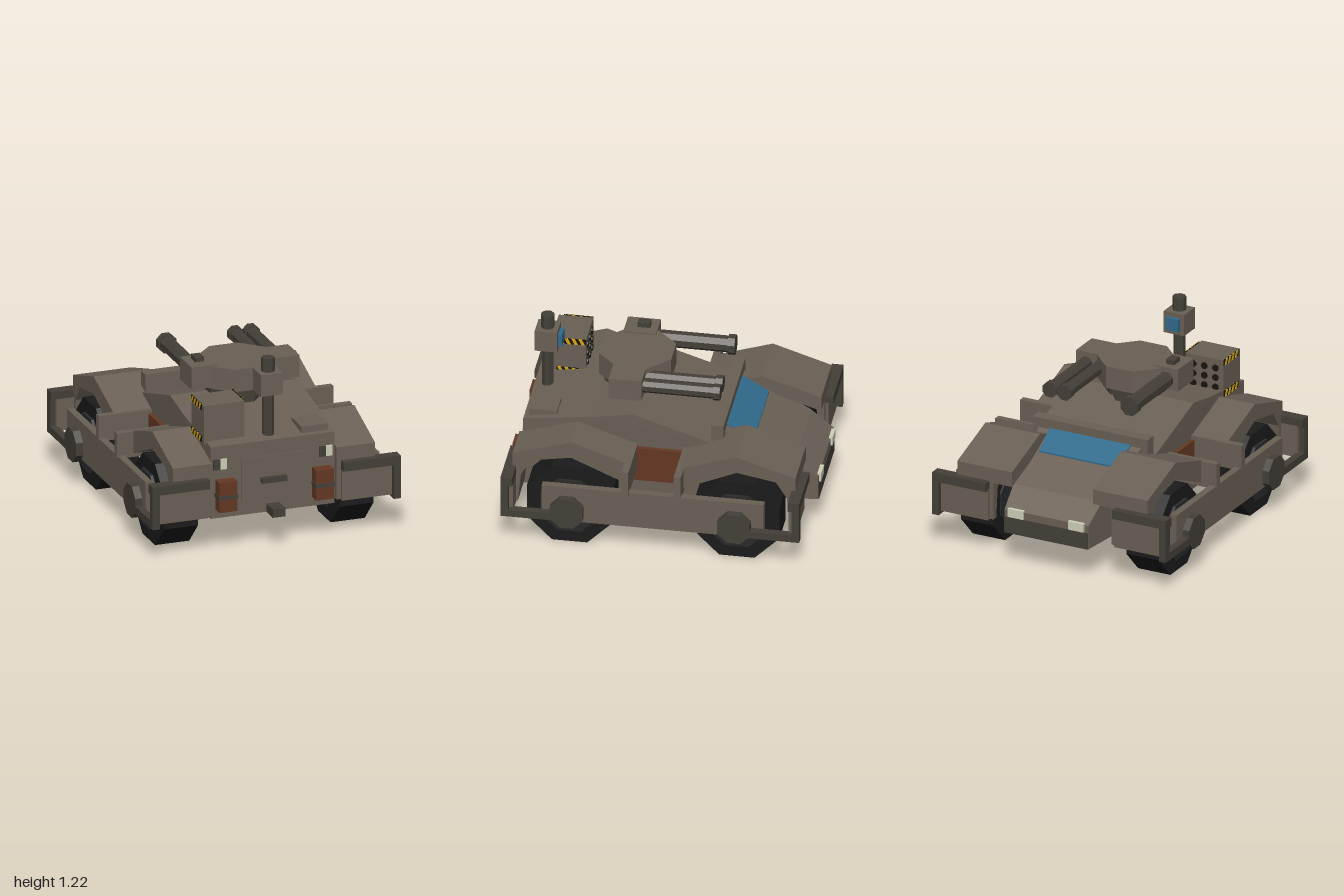
import * as THREE from 'three';

const mat = (name, color) => {
  const m = new THREE.MeshStandardMaterial({ color });
  m.name = name;
  return m;
};

export function createModel() {
  const model = new THREE.Group();
  model.name = 'armouredCar';
  const armour = mat('armour', 0x6a6055);
  const dark = mat('dark metal', 0x443f38);
  const tyre = mat('tyre', 0x1b1b1b);
  const rim = mat('wheel rim', 0x292a2b);
  const rust = mat('rust brown', 0x653823);
  const glass = mat('blue glass', 0x316a8c);
  const yellow = mat('warning yellow', 0xd8a514);
  const black = mat('warning black', 0x16150f);
  const cream = mat('lamp cream', 0xcfd0b8);

  const add = (name, geo, m) => {
    const mesh = new THREE.Mesh(geo, m);
    mesh.name = name;
    model.add(mesh);
    return mesh;
  };
  // Box given by its limits
  const box = (name, m, x0, x1, y0, y1, z0, z1) => {
    const g = new THREE.BoxGeometry(Math.abs(x1 - x0), y1 - y0, z1 - z0);
    g.translate((x0 + x1) / 2, (y0 + y1) / 2, (z0 + z1) / 2);
    return add(name, g, m);
  };
  // Side profile of [z, y] points spanning x0..x1, with optional width rule by z
  const profile = (name, m, pts, x0, x1, width) => {
    const lo = Math.min(x0, x1), hi = Math.max(x0, x1);
    const shape = new THREE.Shape(pts.map(p => new THREE.Vector2(...p)));
    const g = new THREE.ExtrudeGeometry(shape, { depth: hi - lo, bevelEnabled: false });
    g.rotateY(-Math.PI / 2).translate(hi, 0, 0);
    if (width) {
      const p = g.attributes.position;
      for (let i = 0; i < p.count; i++) p.setX(i, p.getX(i) * width(p.getZ(i)));
      g.computeVertexNormals();
    }
    return add(name, g, m);
  };
  // Faceted cylinder along an axis, flats facing the other axes
  const cyl = (name, m, r0, r1, len, axis, x, y, z, sides = 8) => {
    let g = new THREE.CylinderGeometry(r1, r0, len, sides).rotateY(Math.PI / sides).toNonIndexed();
    g.computeVertexNormals();
    if (axis === 'x') g.rotateZ(-Math.PI / 2);
    if (axis === 'z') g.rotateX(Math.PI / 2);
    g.translate(x, y, z);
    return add(name, g, m);
  };

  // Hull and tapered nose
  profile('hull', armour, [[0.88, 0.22], [0.88, 0.7], [0.42, 0.765], [0.18, 0.81], [-0.36, 0.64], [-0.36, 0.22]],
    -0.43, 0.43, z => (z > 0.5 ? 0.97 : 1));
  const taper = z => 0.375 + (z + 0.32) * 0.115;
  profile('nose', armour, [[-0.34, 0.22], [-0.34, 0.72], [-0.4, 0.705], [-0.835, 0.49], [-0.985, 0.38], [-0.985, 0.22]],
    -1, 1, taper);
  profile('windshield', glass, [[-0.4, 0.7], [-0.4, 0.714], [-0.575, 0.628], [-0.575, 0.61]],
    -1, 1, z => taper(z) - 0.075);
  box('roofLip', armour, -0.41, 0.41, 0.62, 0.77, -0.4, -0.32);
  box('nosePlate', dark, -0.295, 0.295, 0.22, 0.33, -0.99, -0.97);

  // Rear plate fittings
  box('door', armour, -0.21, 0.21, 0.31, 0.6, 0.875, 0.888);
  box('doorHandle', dark, -0.085, 0.085, 0.425, 0.46, 0.88, 0.92);
  box('hitch', dark, -0.043, 0.043, 0.22, 0.275, 0.87, 1);
  for (const x of [-0.355, 0.355]) {
    box('lampBlock', dark, x - 0.045, x, 0.545, 0.615, 0.87, 0.89);
    box('lamp', cream, x, x + 0.045, 0.545, 0.615, 0.87, 0.89);
  }
  box('roofHatch', armour, 0.205, 0.382, 0.67, 0.75, 0.67, 0.85);

  // Fender outline with wheel arch, measured from the middle outwards
  const fender = [[0.16, 0.45], [0.17, 0.6], [0.53, 0.72], [0.905, 0.6], [0.905, 0.25], [0.87, 0.25],
    [0.85, 0.45], [0.78, 0.56], [0.53, 0.605], [0.2, 0.46]];
  const fenderTop = [[0.2, 0.57], [0.2, 0.61], [0.53, 0.72], [0.905, 0.6], [0.905, 0.5], [0.53, 0.62]];

  for (const s of [-1, 1]) {
    // Side rails and stowage
    box('sideRail', armour, s * 0.74, s * 0.787, 0.2, 0.45, -0.72, 0.7);
    box('sidePanel', rust, s * 0.41, s * 0.455, 0.34, 0.575, -0.18, 0.77);
    box('stowageBox', rust, s * 0.265, s * 0.385, 0.28, 0.48, 0.87, 0.955);
    box('stowageStrap', dark, s * 0.26, s * 0.39, 0.365, 0.39, 0.87, 0.96);
    box('headlamp', cream, s * 0.16, s * 0.27, 0.335, 0.392, -1, -0.975);

    for (const e of [-1, 1]) {
      const flip = pts => pts.map(([z, y]) => [z * e, y]);
      const span = (name, m, x0, x1, y0, y1, a, b) =>
        box(name, m, s * x0, s * x1, y0, y1, Math.min(a * e, b * e), Math.max(a * e, b * e));
      // Fenders and their brackets
      profile('fender', armour, flip(fender), s * 0.42, s * 0.68);
      if (e < 0) profile('innerFender', armour, flip(fenderTop), s * 0.29, s * 0.43);
      span('railBracket', armour, 0.43, 0.79, 0.43, 0.6, 0.145, 0.19);
      // Corner bumpers
      span('bumperPanel', armour, 0.45, 0.8, 0.245, 0.46, 0.88, 0.925);
      span('bumperBeam', dark, 0.45, 0.835, 0.45, 0.51, 0.88, 0.955);
      span('bumperPost', dark, 0.787, 0.835, 0.224, 0.46, 0.905, 0.955);
      span('bumperArm', dark, 0.787, 0.835, 0.224, 0.275, 0.6, 0.955);
      // Wheels
      const z = e * 0.535;
      cyl('tyre', tyre, 0.295, 0.295, 0.23, 'x', s * 0.59, 0.273, z);
      cyl('wheelRim', rim, 0.2, 0.2, 0.26, 'x', s * 0.595, 0.273, z);
      cyl('axle', dark, 0.06, 0.06, 0.4, 'x', s * 0.57, 0.273, z);
      cyl('hubCap', dark, 0.113, 0.113, 0.11, 'x', s * 0.78, 0.28, z);
    }
  }

  // Turret
  cyl('turretRing', dark, 0.17, 0.17, 0.1, 'y', 0, 0.79, 0.22);
  cyl('turretNeck', dark, 0.215, 0.215, 0.055, 'y', 0, 0.855, 0.22);
  cyl('turret', armour, 0.25, 0.25, 0.15, 'y', 0, 0.955, 0.22);
  box('leftGunPod', armour, 0.16, 0.382, 0.885, 1.03, 0.13, 0.34);
  box('rightGunPod', armour, -0.345, -0.17, 0.89, 1.04, 0.13, 0.34);
  box('sight', dark, -0.29, -0.232, 1.03, 1.07, 0.18, 0.26);
  const gun = (x, r) => {
    cyl('gunBarrel', dark, r, r, 0.5, 'z', x, 0.957, -0.1);
    cyl('muzzle', dark, r * 1.22, r * 1.22, 0.045, 'z', x, 0.957, -0.342);
  };
  gun(-0.26, 0.054);
  gun(0.205, 0.044);
  gun(0.31, 0.044);

  // Sensor mast
  cyl('mast', dark, 0.038, 0.038, 0.34, 'y', 0, 0.85, 0.795);
  box('mastHead', armour, -0.073, 0.073, 0.99, 1.135, 0.722, 0.866);
  cyl('mastCap', dark, 0.044, 0.044, 0.1, 'y', 0, 1.175, 0.795);
  box('mastLens', glass, -0.045, 0.045, 1.02, 1.105, 0.695, 0.725);

  // Rocket launcher with tubes and warning stripes
  box('launcher', armour, -0.432, -0.16, 0.69, 0.95, 0.577, 0.797);
  for (let i = -1; i <= 1; i++)
    for (let j = -1; j <= 1; j++)
      cyl('launchTube', black, 0.023, 0.023, 0.012, 'z', -0.296 + i * 0.08, 0.825 + j * 0.065, 0.576);
  for (const [x, s] of [[-0.432, -1], [-0.16, 1]])
    for (const y of [0.7, 0.915]) {
      box('stripeBand', black, x, x + s * 0.005, y, y + 0.04, 0.578, 0.765);
      for (let z = 0.582; z < 0.73; z += 0.045)
        profile('warningStripe', yellow, [[z, y], [z + 0.022, y], [z + 0.042, y + 0.04], [z + 0.02, y + 0.04]],
          x, x + s * 0.008);
    }

  return model;
}
